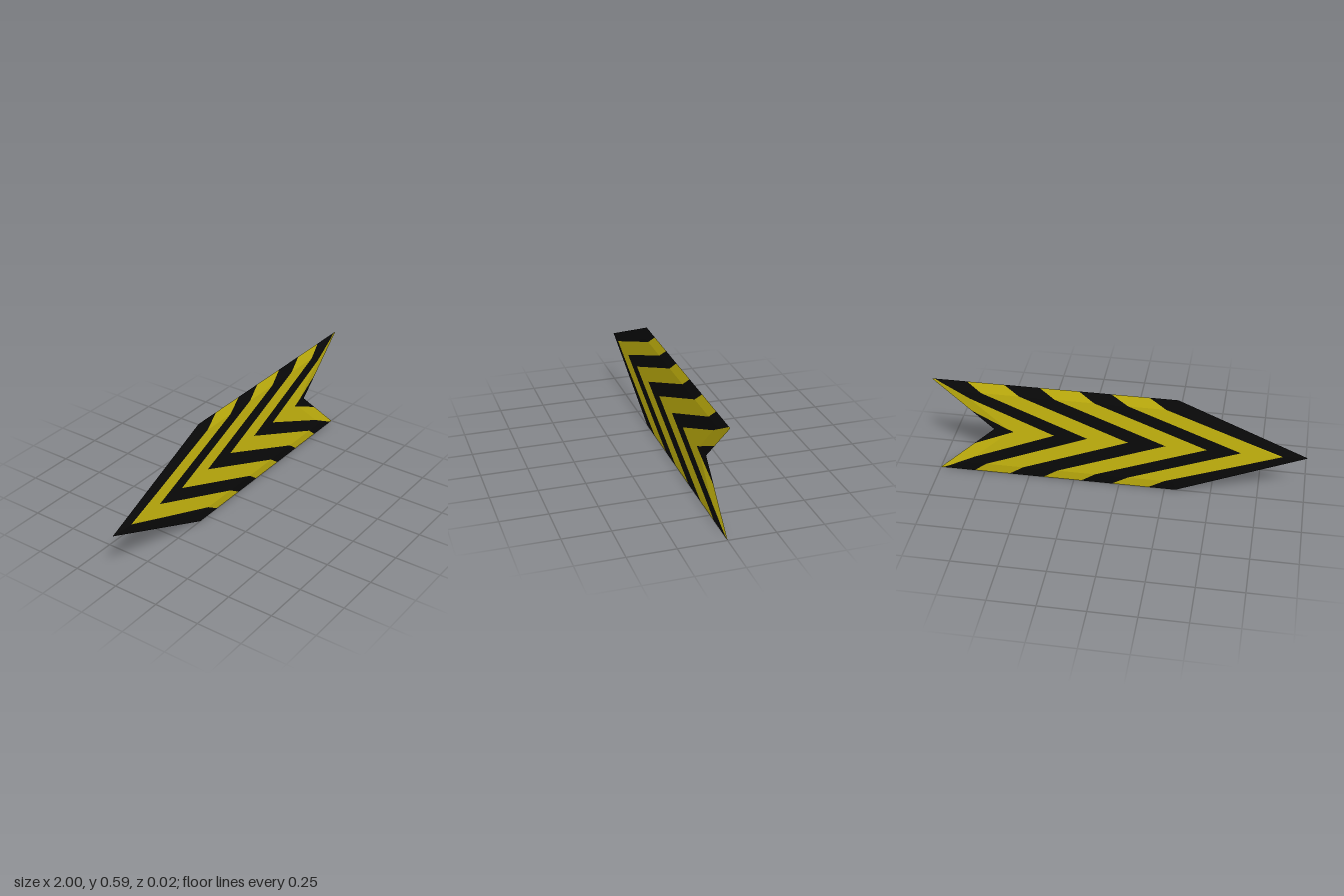
import * as THREE from 'three';

const MID = 0.295, TOP = 0.59, RIM = 0.53, HALF = 0.01;

// Outline points (thin edge) and face points (full thickness) of the upper half
const nose = [-1, MID, 0], shoulder = [-0.31, TOP, 0], tail = [1, TOP, 0], notch = [0.68, MID, 0];
const noseIn = [-0.847, MID, HALF], shoulderIn = [-0.297, RIM, HALF];
const tailIn = [0.846, RIM, HALF], notchIn = [0.59, MID, HALF];

// Facets of the upper front quarter; "outer" ones use the bent end of each stripe line
const FACETS = [
  { points: [noseIn, shoulderIn, tailIn, notchIn], outer: false },
  { points: [nose, shoulder, shoulderIn, noseIn], outer: false },
  { points: [shoulder, tail, tailIn, shoulderIn], outer: true },
  { points: [tail, notch, notchIn, tailIn], outer: true },
];

// Stripe lines: centre, bend where the bevel starts, end at the edge
const LINES = [
  [[-0.87, MID], [-0.25, RIM], [-0.16, TOP]],
  [[-0.65, MID], [-0.05, RIM], [0.04, TOP]],
  [[-0.47, MID], [0.13, RIM], [0.21, TOP]],
  [[-0.25, MID], [0.34, RIM], [0.42, TOP]],
  [[-0.05, MID], [0.53, RIM], [0.61, TOP]],
  [[0.17, MID], [0.735, RIM], [0.81, TOP]],
  [[0.35, MID], [0.796, 0.487], [0.985, TOP]],
  [[0.57, MID], [0.607, 0.311], [0.79, 0.4]],
];

// Keep the part of a convex polygon right (side 1) or left (side -1) of a line
function clip(polygon, [a, b], side) {
  const dist = (p) => side * (p[0] - a[0] - ((b[0] - a[0]) * (p[1] - a[1])) / (b[1] - a[1]));
  const out = [];
  polygon.forEach((p, i) => {
    const q = polygon[(i + 1) % polygon.length];
    const dp = dist(p), dq = dist(q);
    if (dp >= 0) out.push(p);
    if ((dp > 0 && dq < 0) || (dp < 0 && dq > 0)) {
      const t = dp / (dp - dq);
      out.push(p.map((v, k) => v + (q[k] - v) * t));
    }
  });
  return out;
}

// One chevron stripe between two lines, mirrored up/down and front/back
function stripeGeometry(index) {
  const positions = [];
  for (const { points, outer } of FACETS) {
    const segment = (line) => (outer ? line.slice(1) : line.slice(0, 2));
    let polygon = points;
    if (index > 0) polygon = clip(polygon, segment(LINES[index - 1]), 1);
    if (index < LINES.length) polygon = clip(polygon, segment(LINES[index]), -1);
    for (const sy of [1, -1]) {
      for (const sz of [1, -1]) {
        const pts = polygon.map(([x, y, z]) => [x, MID + sy * (y - MID), sz * z]);
        for (let i = 1; i + 1 < pts.length; i++) {
          const a = pts[0];
          let b = pts[i], c = pts[i + 1];
          const area = (b[0] - a[0]) * (c[1] - a[1]) - (b[1] - a[1]) * (c[0] - a[0]);
          if (Math.abs(area) < 1e-9) continue;
          if (area * sz < 0) [b, c] = [c, b];
          positions.push(...a, ...b, ...c);
        }
      }
    }
  }
  const geometry = new THREE.BufferGeometry();
  geometry.setAttribute('position', new THREE.Float32BufferAttribute(positions, 3));
  geometry.computeVertexNormals();
  return geometry;
}

export function createModel() {
  const black = new THREE.MeshStandardMaterial({ color: 0x0a0a0a });
  black.name = 'black';
  const yellow = new THREE.MeshStandardMaterial({ color: 0xc8b70e });
  yellow.name = 'yellow';

  const group = new THREE.Group();
  group.name = 'arrowSign';
  // Alternating chevrons from nose to tail
  for (let i = 0; i <= LINES.length; i++) {
    const mesh = new THREE.Mesh(stripeGeometry(i), i % 2 ? yellow : black);
    mesh.name = (i % 2 ? 'yellowStripe' : 'blackStripe') + (Math.floor(i / 2) + 1);
    group.add(mesh);
  }
  return group;
}
